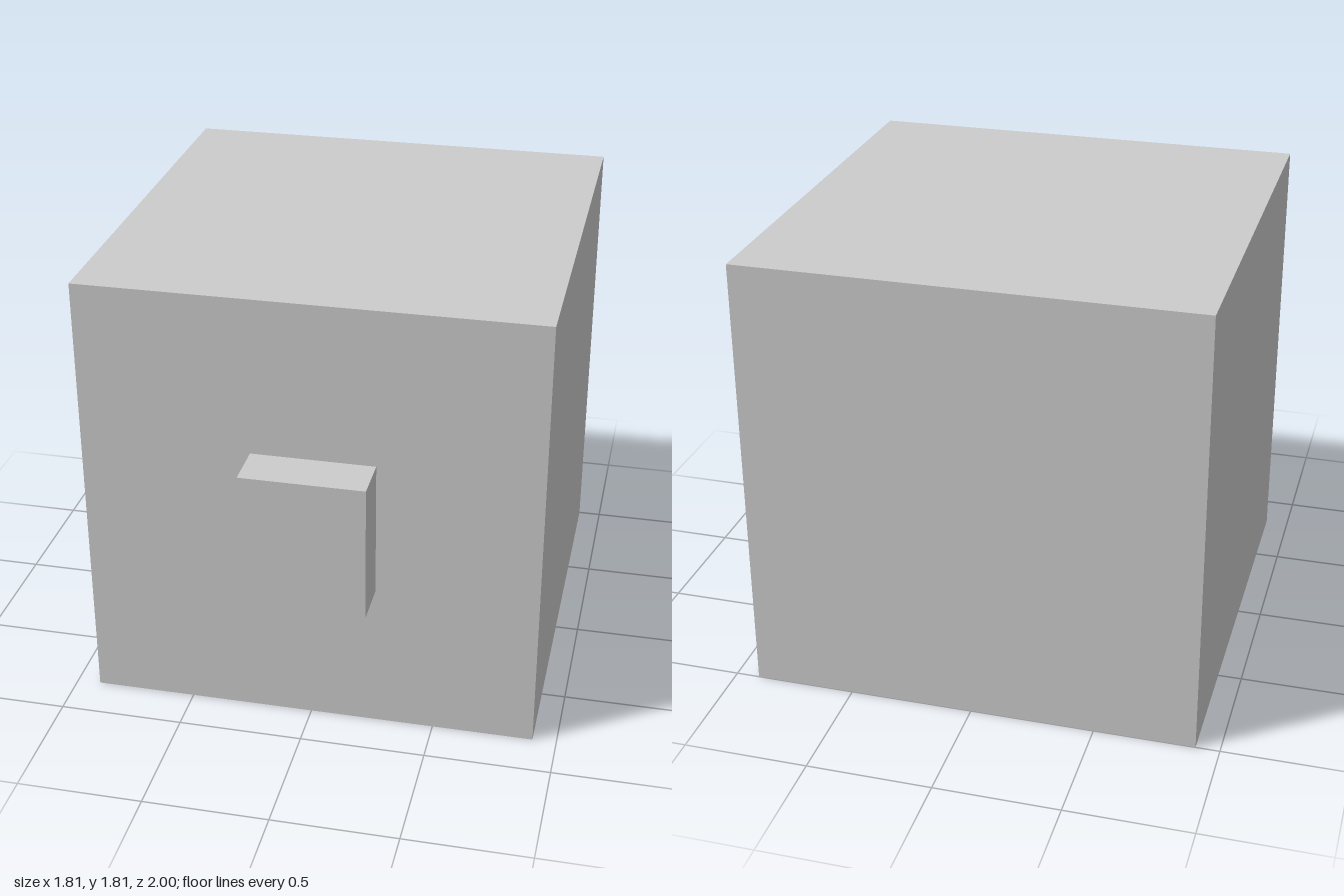
import * as THREE from 'three';

const material = new THREE.MeshStandardMaterial({ color: 0xcccccc, flatShading: true });

// Box spanning two opposite corners
function boxBetween(name, min, max) {
  const size = max.map((v, i) => v - min[i]);
  const mesh = new THREE.Mesh(new THREE.BoxGeometry(...size), material);
  mesh.position.set(...max.map((v, i) => (v + min[i]) / 2));
  mesh.name = name;
  return mesh;
}

export function createModel() {
  const group = new THREE.Group();
  group.name = 'cubeWithFrontBlock';

  // Large cube
  group.add(boxBetween('body', [-0.905, 0, -1], [0.905, 1.81, 0.81]));

  // Small block standing out from the front face
  group.add(boxBetween('frontBlock', [-0.227, 0.615, 0.81], [0.263, 1.17, 1]));

  return group;
}
